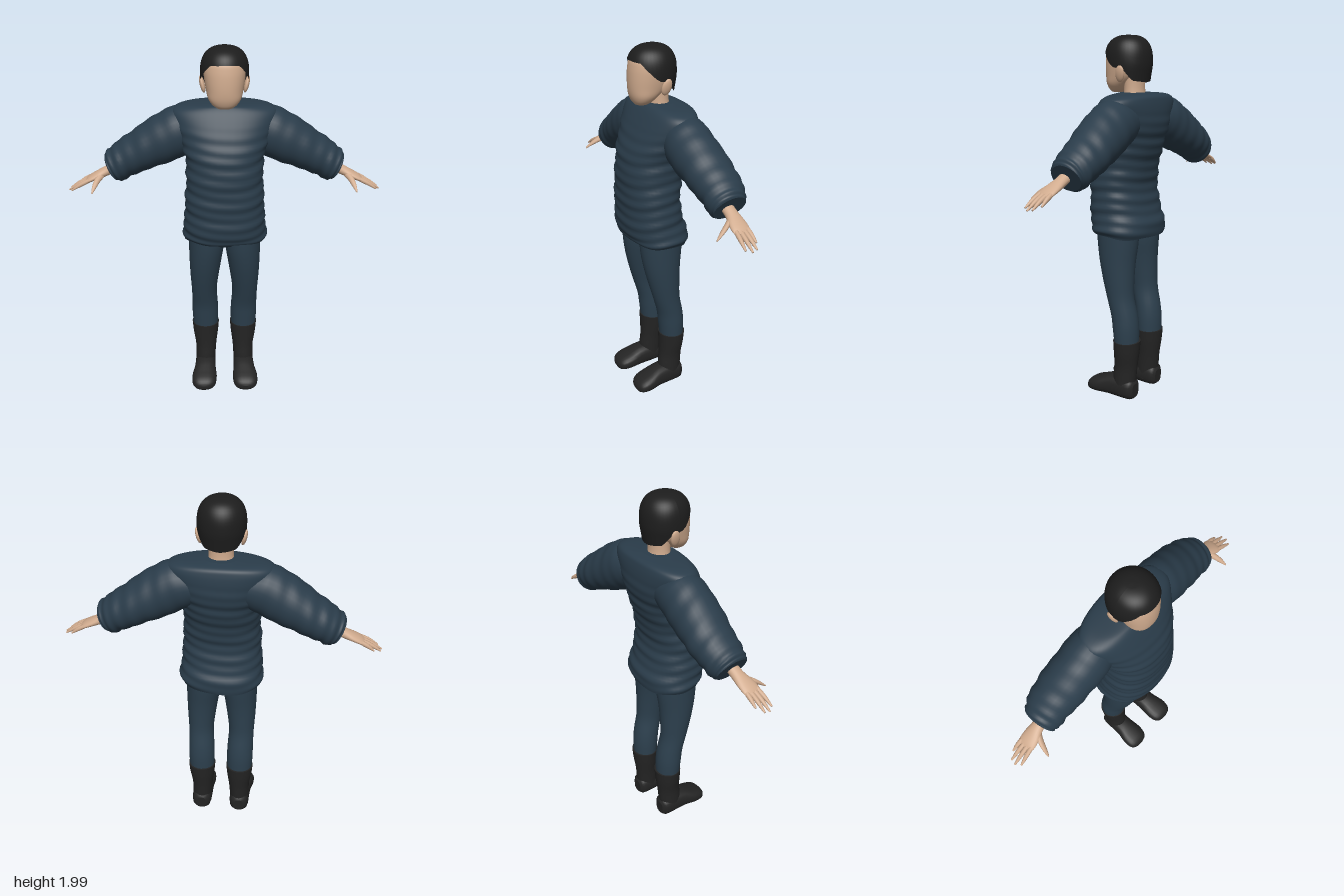
import * as THREE from 'three';

const X = new THREE.Vector3(1, 0, 0);
const Y = new THREE.Vector3(0, 1, 0);
const Z = new THREE.Vector3(0, 0, 1);
const SLEEVE_UP = new THREE.Vector3(0.47, 0.88, 0);

const mat = (name, color, extra = {}) => new THREE.MeshStandardMaterial({ name, color, ...extra });

// Skin smoothly through oval sections [cx, cy, cz, ru, rv]; u x v points along the loft
function loft(sections, u, v, { rows = 16, segs = 24, power = 2, warp } = {}) {
  const centres = new THREE.CatmullRomCurve3(sections.map(s => new THREE.Vector3(s[0], s[1], s[2])), false, 'catmullrom');
  const radii = new THREE.CatmullRomCurve3(sections.map(s => new THREE.Vector3(s[3], s[4], 0)), false, 'catmullrom');
  const pos = [], index = [];
  const round = k => Math.sign(k) * Math.abs(k) ** (2 / power);
  const ring = t => {
    const c = centres.getPoint(t), r = radii.getPoint(t);
    for (let j = 0; j < segs; j++) {
      const a = j / segs * Math.PI * 2;
      const k = warp ? warp.scale(t, a, c) : 1;
      const p = c.clone().addScaledVector(u, round(Math.cos(a)) * r.x * k).addScaledVector(v, round(Math.sin(a)) * r.y * k);
      if (warp && warp.move) warp.move(p, t, a);
      pos.push(p.x, p.y, p.z);
    }
  };
  for (let i = 0; i <= rows; i++) ring(i / rows);
  for (let i = 0; i < rows; i++) for (let j = 0; j < segs; j++) {
    const a = i * segs + j, b = i * segs + (j + 1) % segs;
    index.push(a, b, a + segs, b, b + segs, a + segs);
  }
  // End caps with their own corners
  for (const t of [0, 1]) {
    const start = pos.length / 3;
    ring(t);
    const mid = pos.length / 3, c = centres.getPoint(t);
    pos.push(c.x, c.y, c.z);
    for (let j = 0; j < segs; j++) {
      const a = start + j, b = start + (j + 1) % segs;
      if (t) index.push(mid, a, b); else index.push(mid, b, a);
    }
  }
  const geo = new THREE.BufferGeometry();
  geo.setAttribute('position', new THREE.Float32BufferAttribute(pos, 3));
  geo.setIndex(index);
  geo.computeVertexNormals();
  return geo;
}

// Mirrored copy across x = 0, with corners turned round
function mirrored(geo) {
  const g = geo.clone().scale(-1, 1, 1), ix = g.index.array;
  for (let i = 0; i < ix.length; i += 3) [ix[i], ix[i + 1]] = [ix[i + 1], ix[i]];
  g.computeVertexNormals();
  return g;
}

// Upright section from [y, half width, front z, back z, x]
const upright = ([y, rx, zf, zb, x = 0]) => [x, y, (zf + zb) / 2, (zf - zb) / 2, rx];

// Hairline height by angle from the front
const HAIRLINE = [[0, 1.925], [0.65, 1.92], [0.9, 1.89], [1.35, 1.835], [1.9, 1.82], [2.3, 1.765], [3.15, 1.755]];
function hairline(a) {
  const i = HAIRLINE.findIndex(h => h[0] > a), [a0, y0] = HAIRLINE[i - 1], [a1, y1] = HAIRLINE[i];
  return y0 + (y1 - y0) * (a - a0) / (a1 - a0);
}

function hairGeometry() {
  const geo = new THREE.SphereGeometry(1, 40, 18, 0, Math.PI * 2, 0, Math.PI / 2);
  const p = geo.attributes.position;
  for (let i = 0; i < p.count; i++) {
    const x = p.getX(i), z = p.getZ(i), a = Math.abs(Math.atan2(x, z));
    const low = hairline(a), y = low + (1.995 - low) * Math.min(1, p.getY(i));
    const h = Math.max(0, (y - 1.86) / 0.1355);
    const r = Math.max(0, 1 - h ** 2.6) ** (1 / 2.6) * (1 - Math.max(0, 1.84 - y) * 1.3);
    const len = Math.hypot(x, z) || 1;
    p.setXYZ(i, x / len * r * 0.122, y, z / len * r * (z > 0 ? 0.135 : 0.122));
  }
  geo.computeVertexNormals();
  return geo;
}

export function createModel() {
  const model = new THREE.Group();
  model.name = 'figure';
  const cloth = mat('jacket blue', 0x2a3c4a);
  const trouser = mat('trouser blue', 0x2c3f4d);
  const skin = mat('skin', 0xd0ab8e);
  const leather = mat('boot black', 0x242424);
  const hairMat = mat('hair black', 0x1d1d1d, { side: THREE.DoubleSide });

  const add = (name, geo, material) => {
    const m = new THREE.Mesh(geo, material);
    m.name = name;
    model.add(m);
  };
  const pair = (name, geo, material) => {
    add('left ' + name, geo, material);
    add('right ' + name, mirrored(geo), material);
  };

  // Baggy jacket with horizontal folds and a hem that drops at the back
  add('jacket body', loft([
    [0.955, 0.222, 0.16, -0.16], [1.0, 0.228, 0.18, -0.165], [1.1, 0.215, 0.187, -0.135],
    [1.2, 0.21, 0.187, -0.12], [1.3, 0.203, 0.187, -0.13], [1.42, 0.205, 0.178, -0.16],
    [1.52, 0.235, 0.148, -0.182], [1.6, 0.265, 0.11, -0.183], [1.66, 0.272, 0.075, -0.175],
    [1.69, 0.215, 0.052, -0.16], [1.703, 0.085, 0.035, -0.115],
  ].map(upright), Z, X, {
    rows: 80, segs: 48, power: 2.3,
    warp: {
      scale: (t, a, c) => {
        const fade = Math.min(1, Math.max(0, (1.62 - c.y) / 0.15));
        return 1 + fade * (0.018 * Math.sin(c.y * 105 + 1.6 * Math.sin(a * 2 + 1)) + 0.014 * Math.sin(c.y * 47 + 2 * Math.sin(a + 2)));
      },
      move: (p, t, a) => { p.y += Math.max(0, 1 - t * 8) * (0.016 * Math.cos(a) + 0.004 * Math.sin(a * 5)); },
    },
  }), cloth);

  // Sleeves narrowing to a loose cuff
  pair('sleeve', loft([
    [0.12, 1.575, -0.06, 0.11, 0.1], [0.2, 1.56, -0.06, 0.13, 0.118], [0.3, 1.51, -0.062, 0.131, 0.125],
    [0.42, 1.445, -0.072, 0.115, 0.123], [0.52, 1.39, -0.077, 0.1, 0.113], [0.58, 1.35, -0.072, 0.093, 0.1],
    [0.605, 1.335, -0.07, 0.076, 0.085],
  ], SLEEVE_UP, Z, {
    rows: 44, segs: 32,
    warp: { scale: (t, a) => 1 + t * (0.035 * Math.sin(t * 52 + 2 * Math.sin(a + 1)) + 0.025 * Math.sin(t * 27 + 3 * Math.cos(a))) },
  }), cloth);

  // Hands: wrist and palm, four fingers, thumb
  pair('palm', loft([
    [0.57, 1.35, -0.06, 0.027, 0.033], [0.63, 1.32, -0.06, 0.026, 0.033], [0.68, 1.298, -0.055, 0.021, 0.044],
    [0.72, 1.28, -0.052, 0.016, 0.047], [0.745, 1.268, -0.052, 0.008, 0.042],
  ], SLEEVE_UP, Z), skin);
  [[0.795, 1.235, -0.088], [0.832, 1.222, -0.065], [0.838, 1.218, -0.038], [0.82, 1.225, -0.01]].forEach((tip, i) => {
    const z = -0.084 + i * 0.021;
    const mid = [(0.725 + tip[0]) / 2, (1.278 + tip[1]) / 2 + 0.003, (z + tip[2]) / 2];
    pair('finger ' + (i + 1), loft([
      [0.725, 1.278, z, 0.012, 0.012], [...mid, 0.011, 0.011], [...tip, 0.004, 0.005],
    ], SLEEVE_UP, Z, { rows: 8, segs: 10 }), skin);
  });
  pair('thumb', loft([
    [0.645, 1.31, -0.05, 0.017, 0.017], [0.675, 1.288, -0.005, 0.016, 0.015],
    [0.69, 1.264, 0.033, 0.012, 0.011], [0.7, 1.24, 0.064, 0.004, 0.004],
  ], X, Y, { rows: 10, segs: 12 }), skin);

  // Trousers
  add('hips', loft([
    [0.93, 0.1, 0.1, -0.1], [0.97, 0.18, 0.13, -0.12], [1.05, 0.19, 0.13, -0.11],
  ].map(upright), Z, X), trouser);
  pair('trouser leg', loft([
    [0.32, 0.072, 0.005, -0.128, 0.112], [0.42, 0.076, 0.016, -0.129, 0.113], [0.5, 0.074, 0.027, -0.12, 0.114],
    [0.6, 0.072, 0.055, -0.1, 0.117], [0.7, 0.08, 0.083, -0.098, 0.114], [0.8, 0.089, 0.107, -0.102, 0.108],
    [0.9, 0.097, 0.123, -0.113, 0.101], [1.0, 0.098, 0.13, -0.12, 0.1],
  ].map(upright), Z, X, { rows: 28 }), trouser);

  // Tall boots: shaft and rounded foot
  pair('boot shaft', loft([
    [0.04, 0.058, 0.02, -0.11, 0.115], [0.13, 0.059, 0.02, -0.117, 0.113], [0.2, 0.062, 0.013, -0.122, 0.111],
    [0.28, 0.073, 0.012, -0.132, 0.112], [0.35, 0.079, 0.014, -0.138, 0.112],
  ].map(upright), Z, X), leather);
  pair('boot foot', loft([
    [0.115, 0.06, -0.122, 0.03, 0.04], [0.115, 0.066, -0.1, 0.055, 0.06], [0.115, 0.068, -0.03, 0.06, 0.064],
    [0.117, 0.065, 0.04, 0.063, 0.06], [0.121, 0.054, 0.1, 0.073, 0.048], [0.123, 0.045, 0.15, 0.068, 0.038],
    [0.123, 0.038, 0.175, 0.048, 0.026], [0.123, 0.036, 0.184, 0.02, 0.01],
  ], X, Y, { power: 2.5 }), leather);

  // Neck, head and ears
  add('neck', loft([
    [1.66, 0.07, 0.025, -0.095], [1.72, 0.062, 0.02, -0.085], [1.83, 0.064, 0.02, -0.088],
  ].map(upright), Z, X), skin);
  add('head', loft([
    [1.703, 0.04, 0.1, 0.035], [1.72, 0.064, 0.113, 0.01], [1.75, 0.084, 0.124, -0.025],
    [1.79, 0.094, 0.129, -0.07], [1.84, 0.102, 0.129, -0.09], [1.89, 0.105, 0.124, -0.095],
    [1.93, 0.096, 0.112, -0.09], [1.965, 0.06, 0.07, -0.06],
  ].map(upright), Z, X, { rows: 28, segs: 36, power: 2.2 }), skin);
  pair('ear', new THREE.SphereGeometry(1, 16, 12).scale(0.013, 0.044, 0.027).rotateZ(-0.22).rotateX(-0.2).translate(0.112, 1.8, -0.018), skin);

  // Short hair cap, low at the nape
  add('hair', hairGeometry(), hairMat);
  return model;
}
